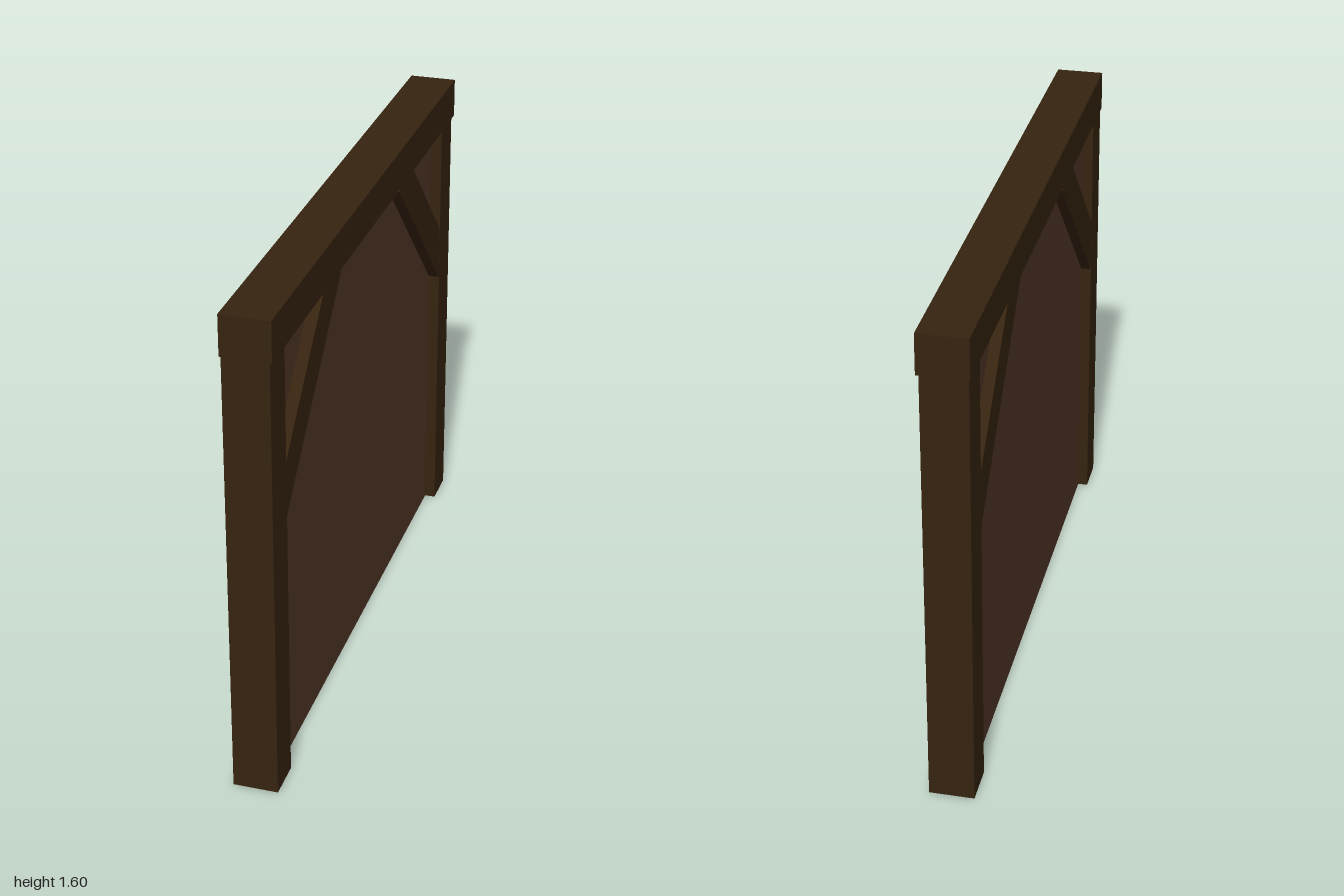
import * as THREE from 'three';

export function createModel() {
  const model = new THREE.Group();
  model.name = 'timberFramedWall';

  const timber = new THREE.MeshStandardMaterial({ color: 0x36230f });
  timber.name = 'dark timber';
  const boards = new THREE.MeshStandardMaterial({ color: 0x503526 });
  boards.name = 'brown panel';

  // Box given by its size and centre
  function box(name, material, size, centre) {
    const mesh = new THREE.Mesh(new THREE.BoxGeometry(...size), material);
    mesh.name = name;
    mesh.position.set(...centre);
    model.add(mesh);
    return mesh;
  }

  // Thin infill panel, set into the posts and the beam
  box('wallPanel', boards, [0.07, 1.54, 1.846], [-0.003, 0.77, 0.006]);

  // Top beam, slightly wider than the posts
  box('topBeam', timber, [0.155, 0.13, 2], [0, 1.535, 0]);

  // Corner posts
  box('frontPost', timber, [0.143, 1.5, 0.128], [-0.0015, 0.755, 0.933]);
  box('backPost', timber, [0.143, 1.5, 0.129], [-0.0015, 0.755, -0.9275]);

  // Diagonal braces between the posts and the beam
  for (const side of [1, -1]) {
    const brace = box(side > 0 ? 'frontBrace' : 'backBrace', timber,
      [0.142, 0.13, 0.79], [-0.0015, 1.2165, side * 0.6505 + 0.002]);
    brace.rotation.x = side * Math.PI / 4;
  }

  return model;
}
